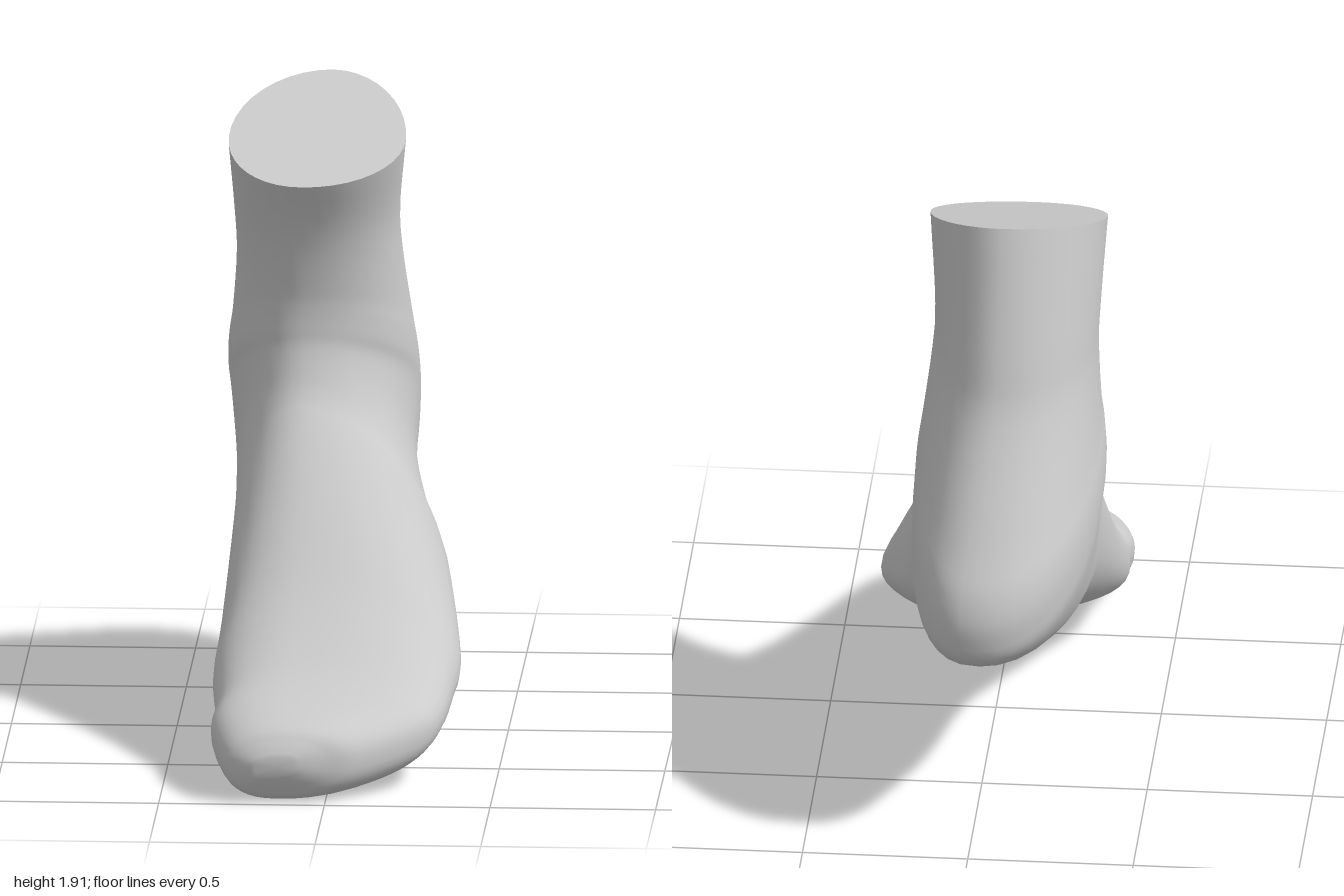
import * as THREE from 'three';

// Cross-sections from toe tip, round the heel, up to the cut ankle:
// [upper z, y,  lower z, y,  right x, left x,  height of widest point, roundness of upper left]
const SECTIONS = [
  [0.998, 0.15, 0.998, 0.09, -0.21, -0.09, 0.5, 2.2],
  [0.97, 0.19, 0.975, 0.045, -0.268, 0, 0.5, 2.3],
  [0.92, 0.23, 0.93, 0.005, -0.313, 0.11, 0.55, 2.4],
  [0.75, 0.285, 0.78, 0.01, -0.355, 0.28, 0.57, 2.4],
  [0.62, 0.35, 0.65, 0.05, -0.35, 0.338, 0.48, 2.2],
  [0.47, 0.47, 0.47, 0.11, -0.365, 0.363, 0.37, 2],
  [0.33, 0.62, 0.3, 0.175, -0.35, 0.374, 0.29, 1.8],
  [0.08, 0.94, -0.08, 0.345, -0.33, 0.32, 0.22, 1.7],
  [0.01, 1.03, -0.27, 0.412, -0.33, 0.257, 0.28, 1.8],
  [-0.025, 1.1, -0.55, 0.475, -0.336, 0.208, 0.48, 1.9],
  [-0.05, 1.17, -0.93, 0.62, -0.358, 0.206, 0.58, 2],
  [-0.057, 1.22, -1, 0.73, -0.368, 0.207, 0.62, 2.05],
  [-0.06, 1.28, -0.985, 0.86, -0.364, 0.2, 0.62, 2.1],
  [-0.056, 1.34, -0.9, 1.01, -0.352, 0.187, 0.6, 2.1],
  [-0.035, 1.46, -0.725, 1.32, -0.338, 0.163, 0.57, 2.1],
  [0, 1.57, -0.66, 1.52, -0.342, 0.157, 0.57, 2.1],
  [0.06, 1.69, -0.55, 1.91, -0.355, 0.18, 0.58, 2],
];
const SEGMENTS = 40;
const STEPS = 64;

// Point on a section made of four rounded quarters; angle 0 is the upper point
function sectionPoint([uz, uy, lz, ly, rightX, leftX, widest, round], angle) {
  const c = Math.cos(angle), n = Math.sin(angle);
  const upper = c > 0, left = n > 0;
  // The outer side of the heel is fuller than the inner side
  const heel = Math.max(0, 1 - Math.hypot(lz + 0.95, ly - 0.7) / 0.5);
  const upperRound = left ? round : Math.max(round, 2.1);
  const lowerRound = 2.4 - 0.25 * ly + heel * (left ? 0.5 : -0.25);
  const power = 2 / (upper ? upperRound : lowerRound);
  const along = Math.abs(c) ** power, out = Math.abs(n) ** power;
  const side = left ? leftX : rightX;
  // The big toe side stays taller than the outer edge
  const middle = left ? widest : Math.max(widest, 0.42);
  const t = middle + ((upper ? 1 : 0) - middle) * along;
  // The ridge runs straight along the instep, the sole turns outwards at the heel
  const edge = upper ? -0.12 : (rightX + leftX) / 2 - 0.05 * lz;
  return new THREE.Vector3(edge + (side - edge) * out, ly + (uy - ly) * t, lz + (uz - lz) * t);
}

function meshGeometry(positions, index) {
  const g = new THREE.BufferGeometry();
  g.setAttribute('position', new THREE.Float32BufferAttribute(positions, 3));
  g.setIndex(index);
  g.computeVertexNormals();
  return g;
}

export function createModel() {
  const group = new THREE.Group();
  group.name = 'foot';
  const skin = new THREE.MeshStandardMaterial({ color: 0xcccccc });
  skin.name = 'light grey';

  // Smooth lengthwise curves through matching points of every section
  const curves = [];
  for (let j = 0; j < SEGMENTS; j++) {
    const angle = (j / SEGMENTS) * Math.PI * 2;
    curves.push(new THREE.CatmullRomCurve3(SECTIONS.map((s) => sectionPoint(s, angle)), false, 'catmullrom', 0.5));
  }

  // Skin surface, closed at the toe tip
  const positions = [], index = [];
  for (let i = 0; i <= STEPS; i++) {
    for (const curve of curves) positions.push(...curve.getPoint(i / STEPS).toArray());
  }
  const tip = positions.length / 3;
  positions.push(-0.15, 0.12, 1);
  for (let j = 0; j < SEGMENTS; j++) {
    const k = (j + 1) % SEGMENTS;
    index.push(tip, k, j);
    for (let i = 0; i < STEPS; i++) {
      const a = i * SEGMENTS + j, b = i * SEGMENTS + k;
      index.push(a, b, a + SEGMENTS, b, b + SEGMENTS, a + SEGMENTS);
    }
  }
  const foot = new THREE.Mesh(meshGeometry(positions, index), skin);
  foot.name = 'footSkin';
  group.add(foot);

  // Flat slanted cut across the ankle
  const rim = curves.map((curve) => curve.getPoint(1));
  const centre = rim.reduce((sum, p) => sum.add(p), new THREE.Vector3()).divideScalar(SEGMENTS);
  const capIndex = rim.flatMap((_, j) => [0, j + 1, ((j + 1) % SEGMENTS) + 1]);
  const cap = new THREE.Mesh(meshGeometry([centre, ...rim].flatMap((p) => p.toArray()), capIndex), skin);
  cap.name = 'ankleCut';
  group.add(cap);

  return group;
}
